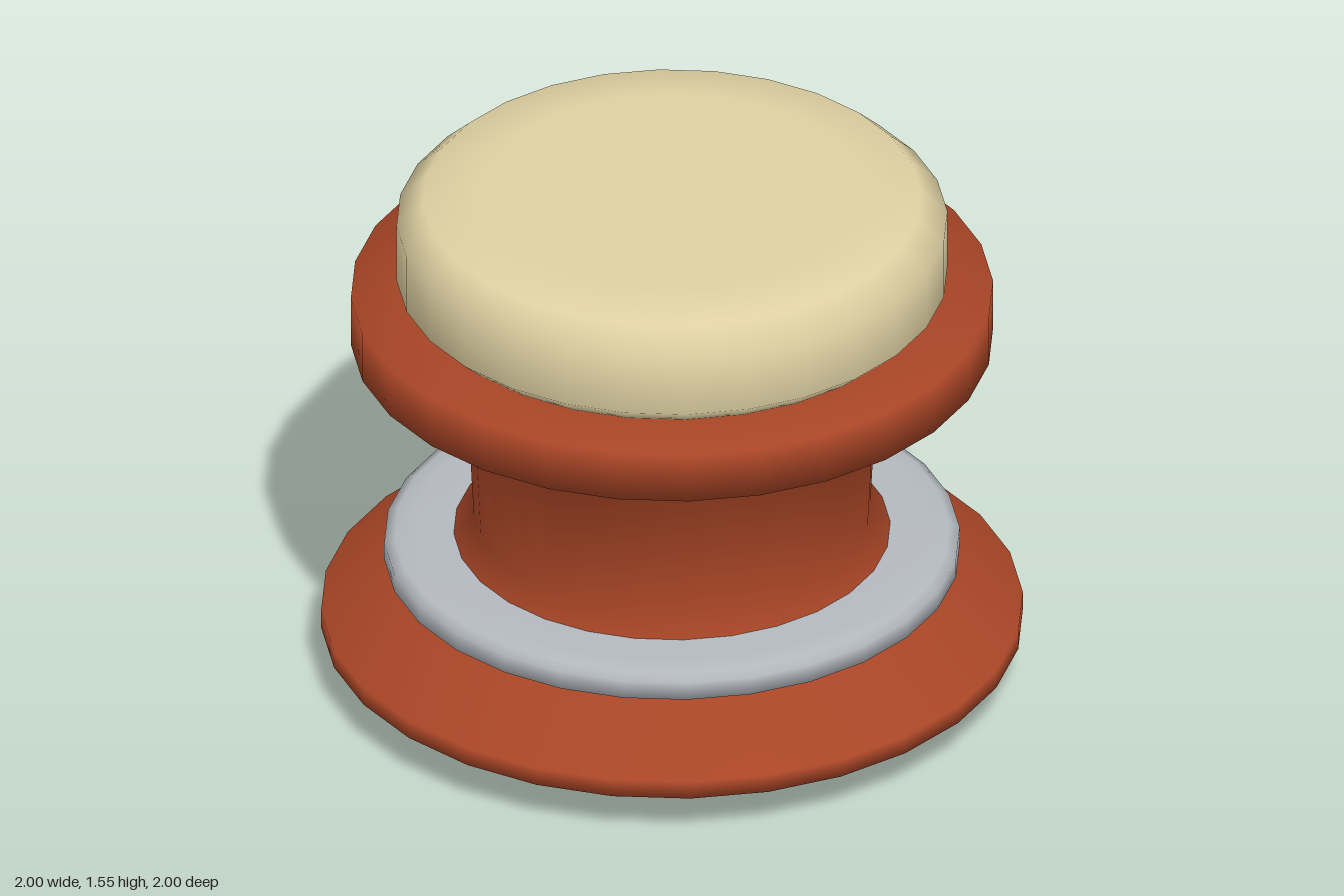
import * as THREE from 'three';

const SIDES = 28;

export function createModel() {
  const group = new THREE.Group();
  group.name = 'roundStool';

  const terracotta = new THREE.MeshStandardMaterial({ name: 'terracotta', color: 0xa84526 });
  const silver = new THREE.MeshStandardMaterial({ name: 'silver', color: 0xb4b9bf });
  const cream = new THREE.MeshStandardMaterial({ name: 'cream', color: 0xdfd1a3 });

  // Turned part from a [radius, height] profile running bottom to top
  const turn = (name, material, profile) => {
    const points = profile.map(([r, y]) => new THREE.Vector2(r, y));
    const mesh = new THREE.Mesh(new THREE.LatheGeometry(points, SIDES), material);
    mesh.name = name;
    group.add(mesh);
  };

  // Flared foot
  turn('base', terracotta, [
    [0, 0], [0.7, 0], [0.86, 0.06], [1, 0.14], [1, 0.195], [0.74, 0.335], [0.6, 0.36],
  ]);

  // Metal band on the foot
  turn('ring', silver, [
    [0.6, 0.33], [0.75, 0.33], [0.82, 0.36], [0.82, 0.415], [0.79, 0.43], [0.73, 0.44], [0.55, 0.44],
  ]);

  // Waisted column widening to the seat tray
  turn('column', terracotta, [
    [0.66, 0.4], [0.565, 0.5], [0.588, 0.965], [0.915, 1.075], [0.915, 1.23], [0.7, 1.23], [0, 1.23],
  ]);

  // Padded seat
  turn('cushion', cream, [
    [0.6, 1.225], [0.73, 1.235], [0.785, 1.285], [0.785, 1.465], [0.71, 1.535], [0.55, 1.553], [0, 1.553],
  ]);

  return group;
}
